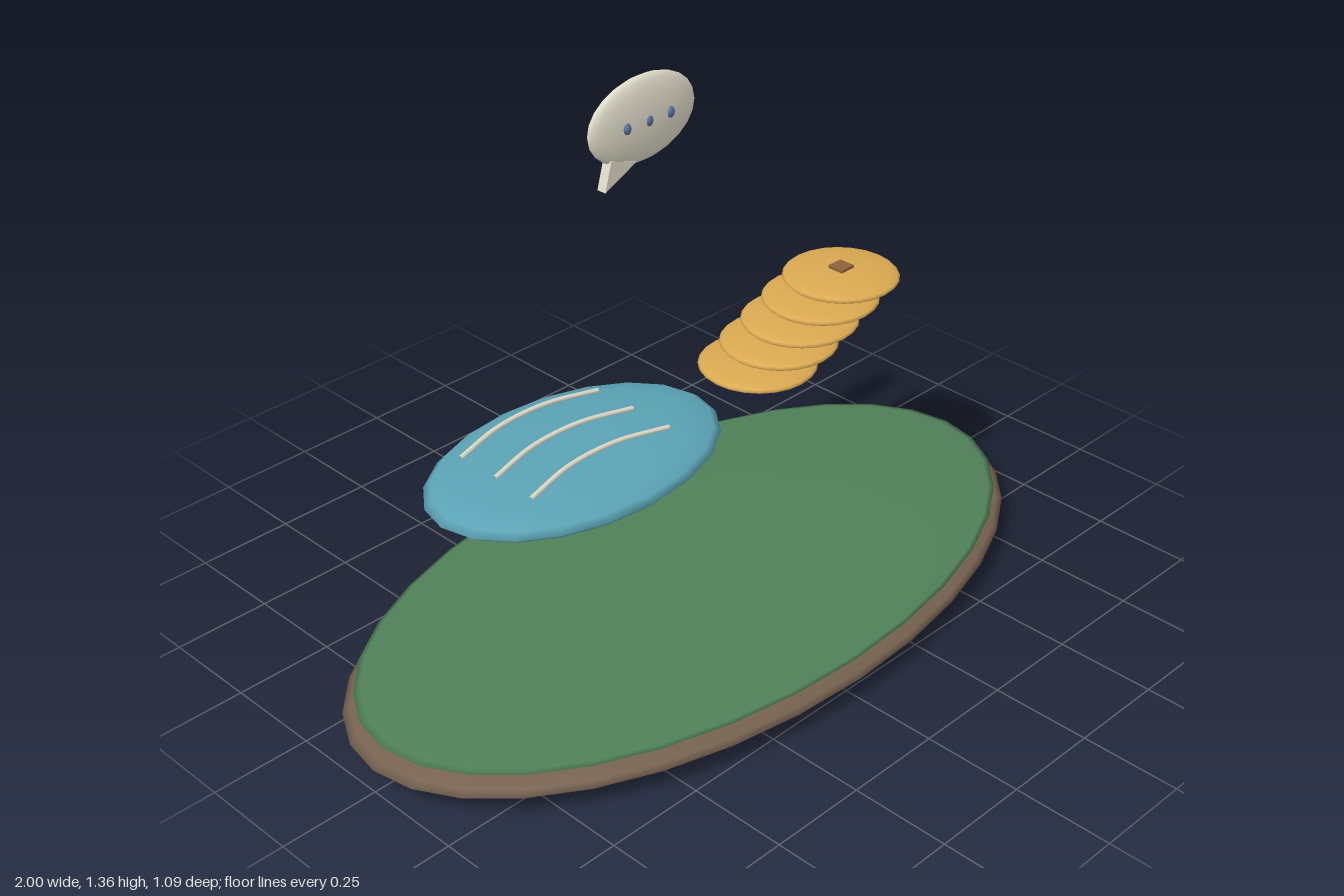
import * as THREE from 'three';

const mat = (color) => new THREE.MeshStandardMaterial({ color });

export function createModel() {
  const model = new THREE.Group();
  const soil = mat(0x75614f), grass = mat(0x4f8058), water = mat(0x5aa3b5);
  const gold = mat(0xd9a850), cream = mat(0xe2decb), ink = mat(0x566b9a), bronze = mat(0x8a6238);

  const add = (name, geometry, material, parent = model) => {
    const mesh = new THREE.Mesh(geometry, material);
    mesh.name = name;
    parent.add(mesh);
    return mesh;
  };

  // Flattened sphere with its centre and half-sizes
  const ellipsoid = (name, centre, radii, material, segments, parent) => {
    const geometry = new THREE.SphereGeometry(1, segments, segments / 2);
    geometry.scale(...radii);
    const mesh = add(name, geometry, material, parent);
    mesh.position.set(...centre);
    return mesh;
  };

  // Oval island with a grassy top
  ellipsoid('islandBase', [0, 0.06, 0], [1, 0.06, 0.543], soil, 32);
  ellipsoid('islandGrass', [0, 0.105, 0], [0.97, 0.018, 0.525], grass, 32);

  // Pond with three arched ripples
  const pond = new THREE.Group();
  pond.name = 'pond';
  model.add(pond);
  ellipsoid('pondDisc', [-0.38, 0.59, 0], [0.39, 0.045, 0.255], water, 20, pond);
  for (const z of [-0.115, 0, 0.117]) {
    const path = new THREE.CatmullRomCurve3([
      new THREE.Vector3(-0.615, 0.645, z),
      new THREE.Vector3(-0.48, 0.657, z - 0.025),
      new THREE.Vector3(-0.34, 0.657, z - 0.025),
      new THREE.Vector3(-0.2, 0.645, z),
    ]);
    add('ripple', new THREE.TubeGeometry(path, 20, 0.006, 6), cream, pond);
  }

  // Leaning stack of five coins, the top one with a square mark
  const coins = new THREE.Group();
  coins.name = 'coinStack';
  model.add(coins);
  for (let i = 0; i < 5; i++) {
    ellipsoid('coin', [0.217 + i * 0.0735, 0.595 + i * 0.0318, 0], [0.145, 0.02, 0.145], gold, 24, coins);
  }
  add('coinMark', new THREE.BoxGeometry(0.044, 0.012, 0.044), bronze, coins).position.set(0.511, 0.743, 0);

  // Speech bubble with a tail and three dots
  const bubble = new THREE.Group();
  bubble.name = 'speechBubble';
  bubble.position.set(0, 1.25, -0.166);
  model.add(bubble);
  ellipsoid('bubbleBody', [0, 0, 0], [0.167, 0.105, 0.027], cream, 24, bubble);
  const tail = new THREE.Shape([
    new THREE.Vector2(-0.128, -0.141),
    new THREE.Vector2(-0.03, -0.095),
    new THREE.Vector2(-0.108, -0.07),
  ]);
  const tailGeometry = new THREE.ExtrudeGeometry(tail, { depth: 0.026, bevelEnabled: false });
  tailGeometry.translate(0, 0, -0.013);
  add('bubbleTail', tailGeometry, cream, bubble);
  for (const x of [-0.068, 0, 0.068]) {
    ellipsoid('bubbleDot', [x, 0, 0.023], [0.011, 0.014, 0.01], ink, 12, bubble);
  }

  return model;
}
